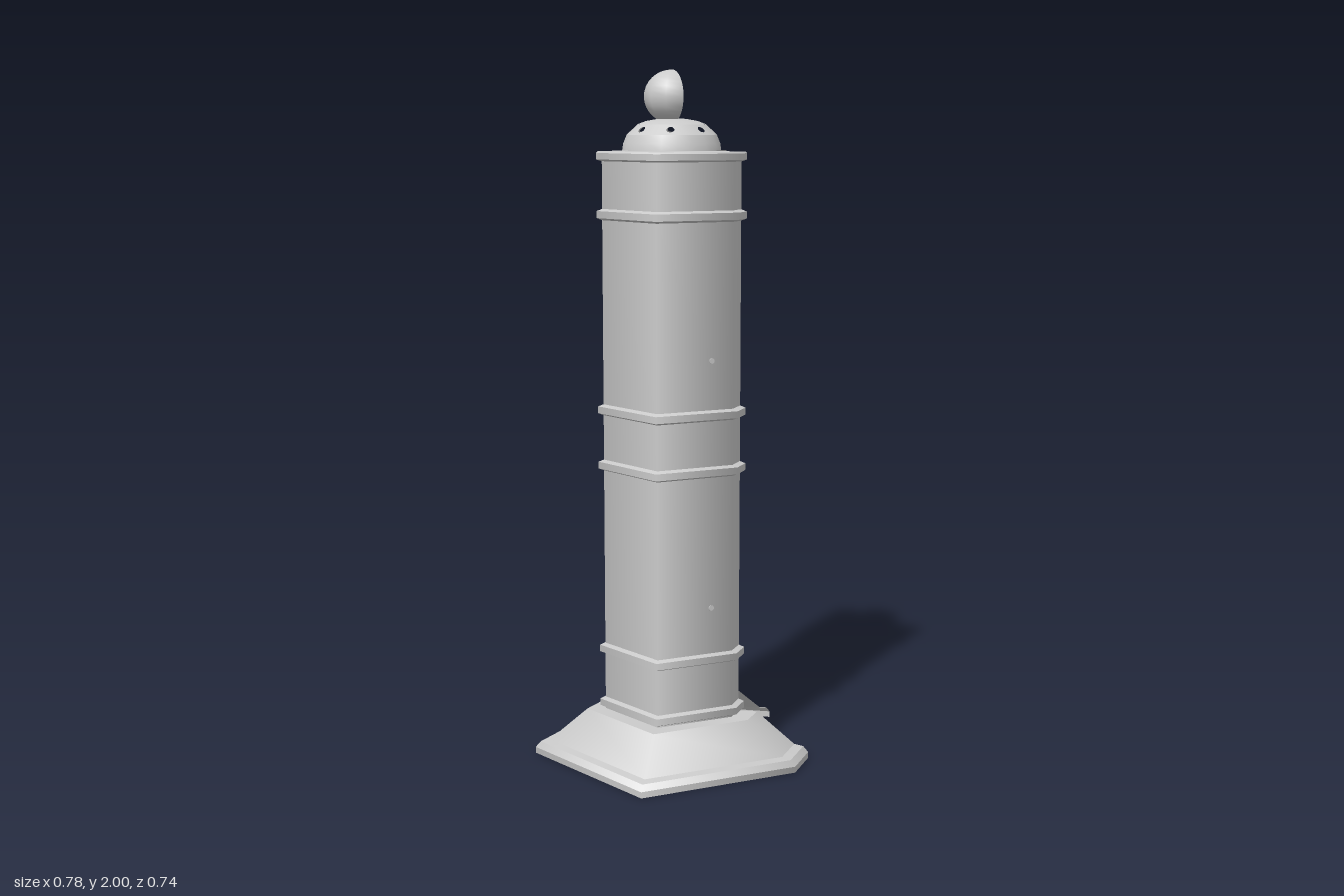
import * as THREE from 'three';
import { mergeGeometries } from 'three/addons/utils/BufferGeometryUtils.js';

const rad = THREE.MathUtils.degToRad;
const material = new THREE.MeshStandardMaterial({ color: 0xcccccc, side: THREE.DoubleSide });
const AXIS_Z = 0.04; // all shells turn about this axis

// Angles are counter-clockwise from +x as seen from above.
function sweep(profile, startDeg, lengthDeg, segments) {
  const points = profile.map(([r, y]) => new THREE.Vector2(r, y));
  return new THREE.LatheGeometry(points, segments, rad(startDeg + 90), rad(lengthDeg));
}

// Open five-sided shell: four full sides and a short last one, crisp along the profile
function pentagonShell(profile) {
  const parts = [];
  for (let i = 0; i < profile.length - 1; i++) {
    const band = [profile[i], profile[i + 1]];
    parts.push(sweep(band, 90, 288, 4), sweep(band, 18, 18, 1));
  }
  return mergeGeometries(parts);
}

// Panel of the dome between two angles and two profile points, with a round hole
function holedPanel(a0, a1, low, high, holeRadius) {
  const mid = rad((a0 + a1) / 2);
  const width = rad(a1 - a0) * (low[0] + high[0]) / 2;
  const height = Math.hypot(low[0] - high[0], low[1] - high[1]);
  const shape = new THREE.Shape();
  shape.moveTo(-width / 2, 0).lineTo(width / 2, 0).lineTo(width / 2, height).lineTo(-width / 2, height);
  shape.holes.push(new THREE.Path().absarc(0, height / 2, holeRadius, 0, Math.PI * 2, true));
  const geometry = new THREE.ShapeGeometry(shape, 8);
  const pos = geometry.attributes.position;
  const normal = geometry.attributes.normal;
  const slope = [(low[0] - high[0]) / height, (high[1] - low[1]) / height];
  for (let i = 0; i < pos.count; i++) {
    const t = pos.getY(i) / height;
    const a = mid + (pos.getX(i) / width) * rad(a1 - a0);
    const r = THREE.MathUtils.lerp(low[0], high[0], t);
    pos.setXYZ(i, r * Math.cos(a), THREE.MathUtils.lerp(low[1], high[1], t), -r * Math.sin(a));
    normal.setXYZ(i, slope[1] * Math.cos(a), slope[0], -slope[1] * Math.sin(a));
  }
  return geometry;
}

function domeGeometry() {
  const lower = [[0.142, 1.775], [0.139, 1.795], [0.129, 1.819]];
  const upper = [[0.098, 1.848], [0.075, 1.857], [0.04, 1.863], [0, 1.865]];
  const parts = [sweep(lower, 126, 270, 15), sweep(upper, 126, 270, 15)];
  const low = lower[2], high = upper[0];
  let from = 126;
  const plain = (to) => {
    parts.push(sweep([low, high], from, to - from, Math.ceil((to - from) / 18)));
  };
  for (const angle of [139, 185, 231, 270, 316, 364]) {
    plain(angle - 9);
    parts.push(holedPanel(angle - 9, angle + 9, low, high, 0.011));
    from = angle + 9;
  }
  plain(396);
  return mergeGeometries(parts);
}

export function createModel() {
  const group = new THREE.Group();
  const add = (name, geometry) => {
    const mesh = new THREE.Mesh(geometry, material);
    mesh.name = name;
    mesh.position.z = AXIS_Z;
    group.add(mesh);
    return mesh;
  };

  // Flared foot with a bevelled rim and a flat step
  add('base', pentagonShell([
    [0.41, 0], [0.41, 0.018], [0.395, 0.035], [0.368, 0.04], [0.255, 0.132], [0.2, 0.132],
  ]));

  // Column wall with its raised bands, closed by a flat cap
  const wall = [[0.2, 0.132]];
  for (const y of [0.152, 0.318, 0.87, 1.033, 1.595]) {
    wall.push([0.2, y - 0.016], [0.216, y - 0.01], [0.216, y + 0.01], [0.2, y + 0.016]);
  }
  wall.push([0.2, 1.745], [0.216, 1.75], [0.216, 1.768], [0.211, 1.773]);
  add('column', pentagonShell(wall));
  add('cap', pentagonShell([[0.211, 1.773], [0, 1.773]]));

  // Pierced dome, open at the back
  add('dome', domeGeometry());

  // Half-shell knob
  const knob = [];
  for (let i = 0; i <= 16; i++) {
    const t = (i / 16) * Math.PI;
    knob.push([0.08 * Math.sin(t), 1.925 - 0.075 * Math.cos(t)]);
  }
  add('knob', sweep(knob, 162, 180, 5));

  // Tiny studs on the two side faces
  for (const [side, heights] of [[-1, [0.72, 1.44]], [1, [0.47, 1.19]]]) {
    for (const y of heights) {
      const stud = add('stud', new THREE.CylinderGeometry(0.008, 0.008, 0.004, 10).rotateX(Math.PI / 2));
      stud.position.set(side * 0.17, y, AXIS_Z + 0.002);
      stud.rotation.y = side * rad(72);
    }
  }
  return group;
}
